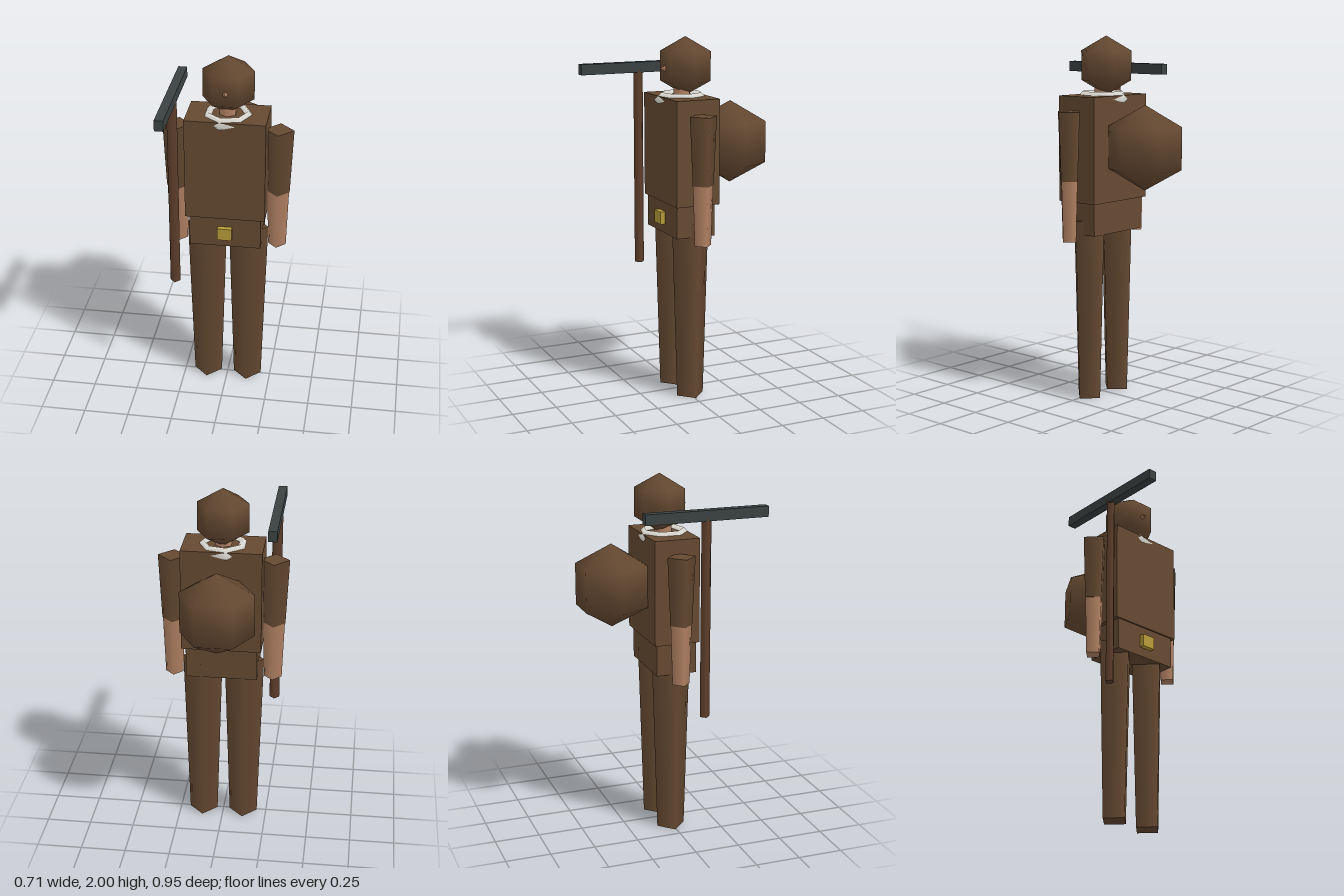
import * as THREE from 'three';

const material = (name, color) => {
  const m = new THREE.MeshStandardMaterial({ color });
  m.name = name;
  return m;
};

export function createModel() {
  const group = new THREE.Group();
  const brown = material('brown cloth', 0x664a32);
  const skin = material('skin', 0xb58465);
  const wood = material('handle wood', 0x60402c);
  const steel = material('dark steel', 0x3b4242);
  const gold = material('gold', 0xb89c3a);
  const white = material('white collar', 0xe2e0d8);
  const Z = -0.007; // depth of the body axis

  const add = (name, geometry, mat, x, y, z) => {
    const mesh = new THREE.Mesh(geometry, mat);
    mesh.name = name;
    mesh.position.set(x, y, z);
    group.add(mesh);
    return mesh;
  };
  const box = (name, mat, w, h, d, x, y, z) =>
    add(name, new THREE.BoxGeometry(w, h, d), mat, x, y, z);
  // four-sided tapered post between two heights
  const post = (name, mat, rTop, rBottom, y0, y1, x, z, sides = 4) =>
    add(name, new THREE.CylinderGeometry(rTop, rBottom, y1 - y0, sides), mat, x, (y0 + y1) / 2, z);

  // Trunk
  box('torso', brown, 0.437, 0.575, 0.253, 0, 1.3925, Z);
  box('hips', brown, 0.392, 0.177, 0.225, 0, 1.0165, -0.003);
  box('beltBuckle', gold, 0.08, 0.07, 0.06, 0, 1.015, 0.108);

  // Limbs, mirrored
  for (const [side, s] of [['left', 1], ['right', -1]]) {
    post(side + 'Leg', brown, 0.11, 0.08, 0, 1.003, s * 0.116, Z);
    post(side + 'Sleeve', brown, 0.079, 0.062, 1.23, 1.602, s * 0.277, Z);
    post(side + 'Forearm', skin, 0.06, 0.049, 0.9, 1.23, s * 0.276, Z);
  }

  // Neck, collar and head
  post('neck', skin, 0.05, 0.05, 1.66, 1.76, 0, -0.01, 6);
  const collar = add('collar', new THREE.TorusGeometry(0.111, 0.04, 4, 7), white, 0, 1.66, Z);
  collar.rotation.x = Math.PI / 2;
  add('head', new THREE.SphereGeometry(0.16, 6, 3), brown, 0, 1.84, -0.03);
  const nose = add('nose', new THREE.ConeGeometry(0.036, 0.07, 4), skin, 0, 1.83, 0.087);
  nose.rotation.x = Math.PI / 2;

  // Round pack on the back
  add('backpack', new THREE.SphereGeometry(0.23, 6, 3), brown, 0, 1.407, -0.305);

  // Long hammer held upright
  post('hammerHandle', wood, 0.028, 0.028, 0.695, 1.8, -0.277, 0.131);
  box('hammerHead', steel, 0.048, 0.058, 0.688, -0.277, 1.814, 0.131);

  return group;
}
